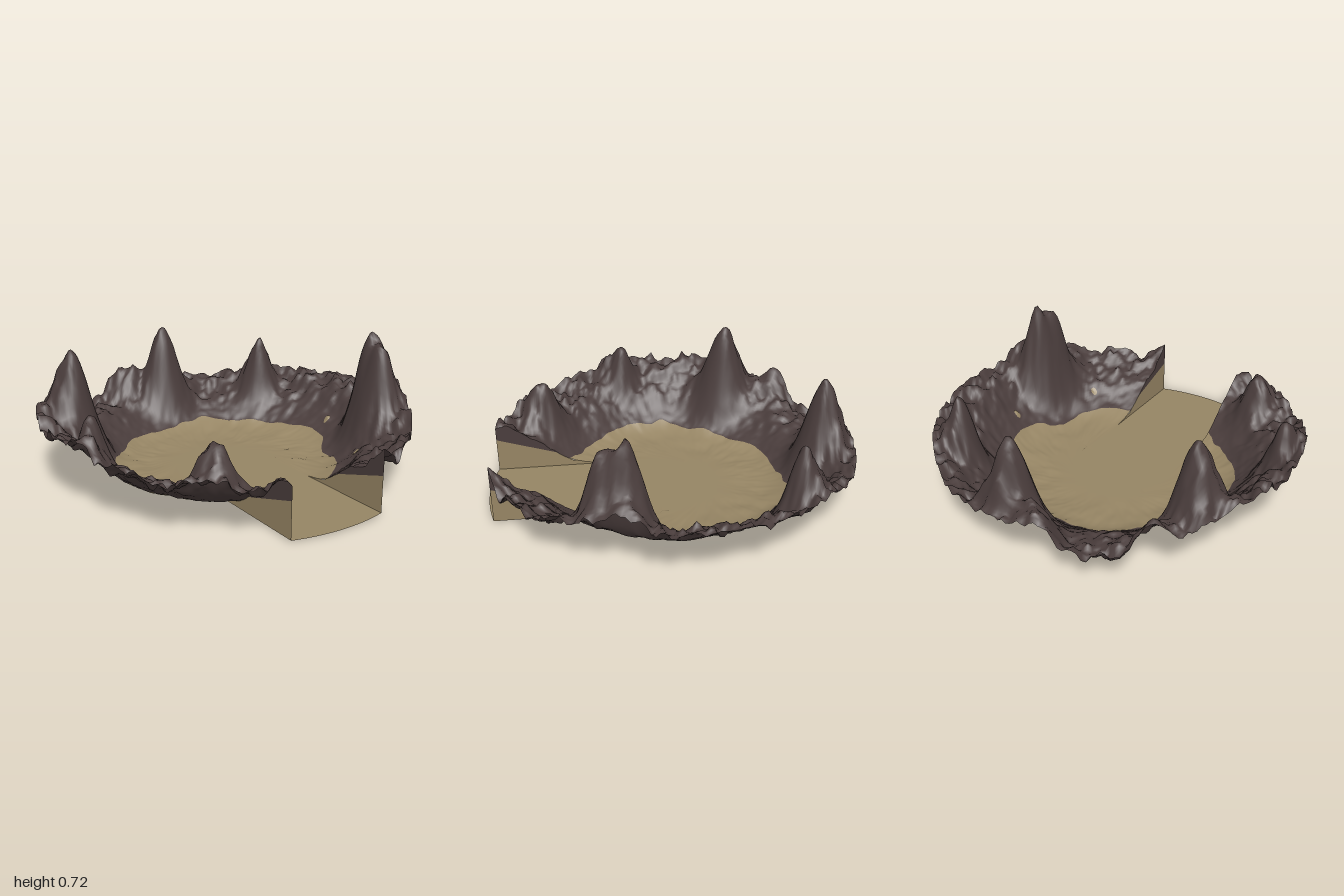
import * as THREE from 'three';

const HALF = 0.27;      // half width of the entrance channel
const FLOOR = 0.012;    // level of the sand in the bowl
const CHANNEL = 0.011;  // level of the entrance floor

// Seeded value noise
function hash(x, y) {
  const s = Math.sin(x * 127.1 + y * 311.7 + 17.3) * 43758.5453;
  return s - Math.floor(s);
}
function noise(x, y) {
  const i = Math.floor(x), j = Math.floor(y);
  let u = x - i, v = y - j;
  u = u * u * (3 - 2 * u);
  v = v * v * (3 - 2 * v);
  const a = hash(i, j) * (1 - u) + hash(i + 1, j) * u;
  const b = hash(i, j + 1) * (1 - u) + hash(i + 1, j + 1) * u;
  return (a * (1 - v) + b * v) * 2 - 1;
}
const fbm = (x, y) => noise(x, y) * 0.5 + noise(x * 2.1, y * 2.1) * 0.3 + noise(x * 4.3, y * 4.3) * 0.2;

// Bowl section: radius, height
const PROFILE = [[0, FLOOR], [0.4, FLOOR], [0.53, 0.02], [0.6, 0.04], [0.65, 0.07], [0.7, 0.11],
  [0.8, 0.2], [0.9, 0.28], [1.01, 0.33]];

// Rock spires, rim bumps and one rim dip: x, z, level, spread
const PEAKS = [
  [-0.45, -0.88, 0.17, 0.11], [0.07, -0.83, 0.63, 0.082], [-0.13, -0.93, 0.42, 0.065],
  [-0.7, -0.42, 0.67, 0.085], [-0.65, -0.73, 0.36, 0.05], [-0.93, -0.24, 0.41, 0.06],
  [-0.87, 0.2, 0.51, 0.05], [0.63, -0.57, 0.54, 0.062], [-0.5, 0.69, 0.43, 0.068],
  [0.76, 0.4, 0.67, 0.07], [0.78, 0.3, 0.72, 0.07],
  [0.93, 0.33, 0.46, 0.045], [-0.95, 0.27, 0.43, 0.05],
  [0.28, 0.95, 0.32, 0.06], [-0.28, 0.95, 0.3, 0.06],
];

// Radius where sand meets rock, every 22.5 degrees from the front
const SHORE = [0.61, 0.61, 0.63, 0.58, 0.65, 0.64, 0.64, 0.65, 0.6, 0.62, 0.58, 0.6, 0.65, 0.64, 0.6, 0.62];
function shore(a) {
  const t = (a / (Math.PI * 2)) * 16, i = Math.floor(t), f = t - i, s = f * f * (3 - 2 * f);
  return SHORE[i % 16] * (1 - s) + SHORE[(i + 1) % 16] * s + noise(a * 9, 3) * 0.012;
}

function height(x, z) {
  const r = Math.hypot(x, z);
  let i = 0;
  while (i < PROFILE.length - 2 && r > PROFILE[i + 1][0]) i++;
  const [r0, h0] = PROFILE[i], [r1, h1] = PROFILE[i + 1];
  let h = h0 + (h1 - h0) * (r - r0) / (r1 - r0);
  // The rim is lower at the front and back than at the sides
  const outer = THREE.MathUtils.smoothstep(r, 0.6, 0.95);
  const side = r > 0 ? (x / r) ** 2 : 0;
  h *= 1 + outer * (-0.28 + 0.37 * side);
  for (const [px, pz, top, s] of PEAKS) {
    const d2 = (x - px) ** 2 + (z - pz) ** 2;
    h += (top - h) * Math.exp(-d2 / (2 * s * s));
  }
  // Rough rock, plus gentle ripples around the edge of the sand
  h += outer * (0.065 * fbm(x * 8, z * 8) + 0.026 * noise(x * 30, z * 30));
  h += THREE.MathUtils.smoothstep(r, 0.3, 0.42) * 0.014 * fbm(x * 11 + 5, z * 11);
  return Math.max(0.002, h);
}

// Surface from a rows x cols grid of points
function grid(rows, cols, point) {
  const pos = [], index = [];
  for (let k = 0; k <= rows; k++)
    for (let j = 0; j <= cols; j++) pos.push(...point(k, j));
  for (let k = 0; k < rows; k++)
    for (let j = 0; j < cols; j++) {
      const a = k * (cols + 1) + j, b = a + cols + 1;
      index.push(a, b, a + 1, a + 1, b, b + 1);
    }
  const g = new THREE.BufferGeometry();
  g.setAttribute('position', new THREE.Float32BufferAttribute(pos, 3));
  g.setIndex(index);
  g.computeVertexNormals();
  return g;
}

export function createModel() {
  const model = new THREE.Group();
  const sand = new THREE.MeshStandardMaterial({ color: 0x968564, side: THREE.DoubleSide });
  sand.name = 'sand';
  const rock = new THREE.MeshStandardMaterial({ color: 0x4a3d3c, side: THREE.DoubleSide });
  rock.name = 'darkRock';
  const add = (name, geometry, material) => {
    const m = new THREE.Mesh(geometry, material);
    m.name = name;
    model.add(m);
  };

  // Crater bowl: sand rings inside the shore, rock rings outside, open at the channel
  const INNER = 18, OUTER = 36, COLS = 260;
  const bowl = grid(INNER + OUTER, COLS, (k, j) => {
    const f = j / COLS;
    let r = 0.6 * k / INNER, a = 0;
    for (let n = 0; n < 10; n++) {
      const gap = Math.asin(Math.min(1, HALF / Math.max(r, HALF)));
      a = gap + (Math.PI * 2 - 2 * gap) * f;
      const s = shore(a);
      r = k <= INNER ? s * k / INNER : s + (1 - s) * (k - INNER) / OUTER;
    }
    const x = r * Math.sin(a), z = r * Math.cos(a);
    return [x, height(x, z), z];
  });
  const split = INNER * COLS * 6;
  bowl.addGroup(0, split, 0);
  bowl.addGroup(split, OUTER * COLS * 6, 1);
  add('craterBowl', bowl, [sand, rock]);

  // Small sandy patches lying on the rock
  for (const [px, pz] of [[0.73, 0], [0.515, 0.5]]) {
    add('sandPatch', grid(2, 10, (k, j) => {
      const a = j / 10 * Math.PI * 2, x = px + 0.01 * k * Math.sin(a), z = pz + 0.008 * k * Math.cos(a);
      return [x, height(x, z) + 0.006, z];
    }), sand);
  }

  // Flat entrance floor, rounded at its outer end and tucked under the bowl at the inner one
  add('channelFloor', grid(12, 24, (k, j) => {
    const x = (HALF + (k < 4 ? 0.006 : 0)) * (j / 12 - 1);
    return [x, CHANNEL, Math.sqrt(1 - x * x) * k / 12 - (k ? 0 : 0.006)];
  }), sand);

  // Upright cut walls: sand below a sloping line, rock from there up to the bowl
  const end = Math.sqrt(1 - HALF * HALF);
  for (const side of [-1, 1]) {
    const wall = (low, high) => grid(1, 60, (k, j) => {
      const z = 0.25 + (end - 0.25) * j / 60, x = side * HALF;
      const top = height(x, z);
      const line = Math.min(top, 0.075 + 0.125 * Math.max(0, z - 0.55) / 0.41);
      const levels = [CHANNEL, line, top];
      return [x, levels[(side > 0) === (k > 0) ? high : low], z];
    });
    const name = side > 0 ? 'leftChannelWall' : 'rightChannelWall';
    add(name + 'Sand', wall(0, 1), sand);
    add(name + 'Rock', wall(1, 2), rock);
  }
  return model;
}
